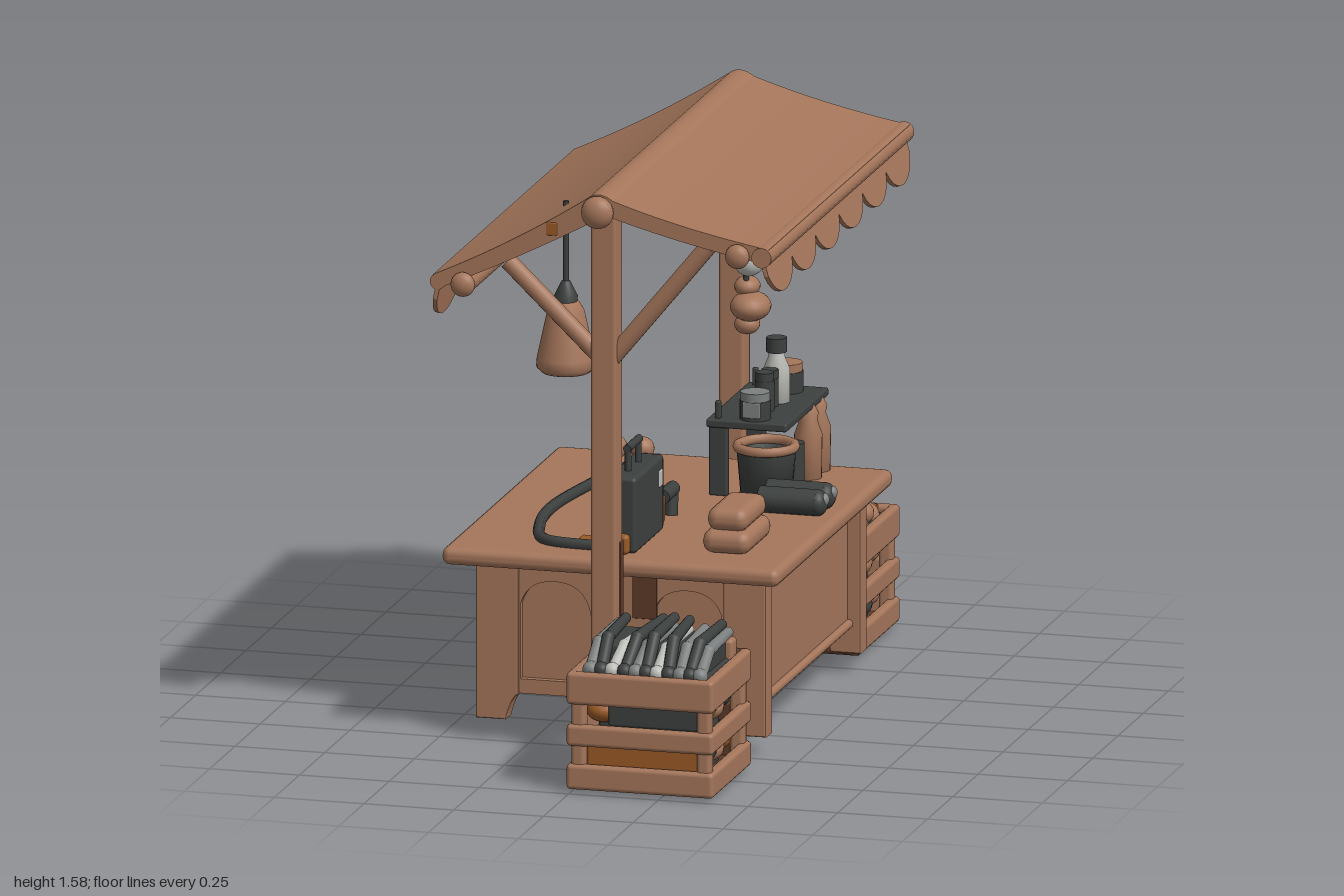
import * as THREE from 'three';
import { RoundedBoxGeometry } from 'three/addons/geometries/RoundedBoxGeometry.js';

const paint = (name, color) => {
  const m = new THREE.MeshStandardMaterial({ color });
  m.name = name;
  return m;
};
const wood = paint('brown wood', 0xa5765b);
const shade = paint('dark brown wood', 0x5c3a29);
const dark = paint('dark metal', 0x3c403e);
const rust = paint('rust orange', 0x9a5a26);
const pale = paint('pale grey', 0xbcbcb8);
const steel = paint('steel grey', 0x7d8080);

const V = (x, y, z) => new THREE.Vector3(x, y, z);

export function createModel() {
  const root = new THREE.Group();
  root.name = 'marketStall';

  const group = (name, parent = root) => {
    const g = new THREE.Group();
    g.name = name;
    parent.add(g);
    return g;
  };
  const add = (parent, name, geo, mat, x = 0, y = 0, z = 0) => {
    const m = new THREE.Mesh(geo, mat);
    m.name = name;
    m.position.set(x, y, z);
    parent.add(m);
    return m;
  };
  // Rounded box given by its extents on each axis
  const box = (p, name, mat, [x0, x1], [y0, y1], [z0, z1], r = 0.012) => {
    const w = x1 - x0, h = y1 - y0, d = z1 - z0;
    return add(p, name, new RoundedBoxGeometry(w, h, d, 2, Math.min(r, w / 2.1, h / 2.1, d / 2.1)), mat,
      (x0 + x1) / 2, (y0 + y1) / 2, (z0 + z1) / 2);
  };
  const rod = (p, name, mat, a, b, r0, r1 = r0) => {
    const m = add(p, name, new THREE.CylinderGeometry(r1, r0, a.distanceTo(b), 14), mat);
    m.position.copy(a).lerp(b, 0.5);
    m.quaternion.setFromUnitVectors(V(0, 1, 0), b.clone().sub(a).normalize());
    return m;
  };
  const ball = (p, name, mat, r, x, y, z, sx = 1, sy = 1, sz = 1) => {
    const m = add(p, name, new THREE.SphereGeometry(r, 18, 12), mat, x, y, z);
    m.scale.set(sx, sy, sz);
    return m;
  };
  const turned = (p, name, mat, pts, x, y, z) =>
    add(p, name, new THREE.LatheGeometry(pts.map(q => new THREE.Vector2(...q)), 24), mat, x, y, z);

  // Table
  const table = group('table');
  box(table, 'tableTop', wood, [-0.48, 0.46], [0.49, 0.54], [-0.59, 0.56], 0.022);
  for (const [z0, z1] of [[-0.52, -0.45], [0.42, 0.485]])
    for (const s of [-1, 1]) {
      const leg = new THREE.Shape();
      leg.moveTo(0.40, 0.5);
      leg.lineTo(0.40, 0.06);
      leg.lineTo(0.325, 0.06);
      leg.quadraticCurveTo(0.31, 0.12, 0.29, 0.13);
      leg.lineTo(0.29, 0.5);
      const geo = new THREE.ExtrudeGeometry(leg, { depth: z1 - z0 - 0.012, bevelSize: 0.005, bevelThickness: 0.006, bevelSegments: 2 });
      const m = add(table, 'tableLeg', geo, wood, 0, 0, z0 + 0.006);
      if (s < 0) { m.rotation.y = Math.PI; m.position.z = z1 - 0.006; }
    }
  // End boards: a frame with arched openings over a recessed panel
  for (const z of [-0.485, 0.453]) {
    const frame = new THREE.Shape();
    frame.moveTo(-0.31, 0.13); frame.lineTo(0.31, 0.13); frame.lineTo(0.31, 0.5); frame.lineTo(-0.31, 0.5);
    for (const s of [-1, 1]) {
      const hole = new THREE.Path();
      hole.moveTo(s * 0.28, 0.17); hole.lineTo(s * 0.075, 0.17); hole.lineTo(s * 0.085, 0.36);
      hole.quadraticCurveTo(s * 0.1, 0.445, s * 0.185, 0.445);
      hole.quadraticCurveTo(s * 0.26, 0.445, s * 0.28, 0.38);
      frame.holes.push(hole);
    }
    add(table, 'endFrame', new THREE.ExtrudeGeometry(frame, { depth: 0.05, bevelEnabled: false }), wood, 0, 0, z - 0.025);
    box(table, 'endPanel', wood, [-0.3, 0.3], [0.14, 0.49], [z - 0.005, z + 0.005], 0.003);
  }
  box(table, 'shadedPatch', shade, [0.03, 0.1], [0.36, 0.49], [0.472, 0.481], 0.002);
  box(table, 'rustPatch', rust, [0.32, 0.39], [0.43, 0.455], [-0.528, -0.519], 0.002);
  box(table, 'sidePanel', wood, [0.345, 0.37], [0.14, 0.5], [-0.46, 0.43], 0.005);
  box(table, 'bottomRail', wood, [0.34, 0.385], [0.125, 0.15], [-0.46, 0.43]);
  box(table, 'topRail', wood, [0.34, 0.385], [0.465, 0.5], [-0.46, 0.43]);

  // Posts and braces
  const frame = group('frame');
  for (const z of [0.605, -0.665]) {
    box(frame, 'post', wood, [-0.042, 0.03], [0, 1.52], [z - 0.035, z + 0.035], 0.01);
    rod(frame, 'leftBrace', wood, V(0.01, 1.11, z), V(0.28, 1.44, z), 0.024);
    rod(frame, 'rightBrace', wood, V(-0.02, 1.11, z), V(-0.28, 1.36, z), 0.024);
  }
  box(frame, 'postStain', shade, [0.026, 0.033], [0.01, 0.6], [0.57, 0.604], 0.002);
  box(frame, 'backPostStain', shade, [-0.048, 0.032], [0.005, 0.3], [-0.703, -0.627], 0.008);
  // Beams with knobbed ends
  for (const [x, y, r] of [[-0.01, 1.53, 0.04], [-0.385, 1.305, 0.03], [0.38, 1.435, 0.03]]) {
    rod(frame, 'roofBeam', wood, V(x, y, -0.72), V(x, y, 0.68), r);
    for (const z of [-0.72, 0.68]) ball(frame, 'beamKnob', wood, r * 1.12, x, y, z, 1, 1, 0.7);
  }

  // Roof sheet with a slight sag on both slopes
  const roof = group('roof');
  const sheet = new THREE.Shape();
  sheet.moveTo(-0.47, 1.325);
  sheet.quadraticCurveTo(-0.25, 1.425, -0.04, 1.565);
  sheet.quadraticCurveTo(-0.01, 1.59, 0.03, 1.562);
  sheet.quadraticCurveTo(0.22, 1.498, 0.465, 1.457);
  sheet.lineTo(0.46, 1.415);
  sheet.quadraticCurveTo(0.22, 1.455, 0.01, 1.52);
  sheet.quadraticCurveTo(-0.24, 1.38, -0.46, 1.285);
  add(roof, 'roofSheet', new THREE.ExtrudeGeometry(sheet, { depth: 1.4, bevelEnabled: false, curveSegments: 16 }), wood, 0, 0, -0.73);
  rod(roof, 'rightEave', wood, V(-0.458, 1.305, -0.73), V(-0.458, 1.305, 0.67), 0.022);
  rod(roof, 'leftEave', wood, V(0.447, 1.435, -0.74), V(0.447, 1.435, 0.68), 0.028);
  // Scalloped cloth along both eaves
  const cloth = new THREE.Shape();
  const n = 6, w = 1.4 / n;
  cloth.moveTo(-0.73, 0);
  cloth.lineTo(-0.73, -0.05);
  for (let i = 0; i < n; i++) {
    const a = -0.73 + i * w;
    cloth.bezierCurveTo(a + 0.04, -0.135, a + w - 0.04, -0.135, a + w, -0.05);
  }
  cloth.lineTo(0.67, 0);
  for (const [name, x, y, tilt] of [['leftValance', 0.445, 1.43, 0.27], ['rightValance', -0.455, 1.305, -0.2]]) {
    const g = group(name, roof);
    g.position.set(x, y, 0);
    g.rotation.z = tilt;
    add(g, 'scallops', new THREE.ExtrudeGeometry(cloth, { depth: 0.012, bevelEnabled: false, curveSegments: 10 }), wood, 0.006, 0, 0)
      .rotation.y = -Math.PI / 2;
  }

  // Crates with a dark inner wall towards the table (side = -1 or 1) and mixed goods behind the slats
  const crate = (name, x0, x1, z0, z1, side, lower, upper) => {
    const c = group(name);
    box(c, 'crateFloor', shade, [x0 + 0.01, x1 - 0.01], [0.008, 0.04], [z0 + 0.01, z1 - 0.01]);
    for (const [a, b] of [[0.01, 0.08], [0.13, 0.19], [0.245, 0.335]]) {
      for (const z of [z0, z1 - 0.03])
        box(c, 'endSlat', (z === z0) === (side < 0) ? shade : wood, [x0, x1], [a, b], [z, z + 0.03]);
      for (const x of [x0, x1 - 0.03]) box(c, 'sideSlat', wood, [x, x + 0.03], [a, b], [z0, z1]);
    }
    for (const x of [x0 + 0.01, x1 - 0.05])
      for (const z of [z0 + 0.01, z1 - 0.05]) box(c, 'cornerPost', wood, [x, x + 0.04], [0.02, 0.32], [z, z + 0.04]);
    box(c, 'innerGoods', dark, [x0 + 0.07, x1 - 0.07], [0.03, 0.29], [z0 + 0.07, z1 - 0.07]);
    const dx = (x1 - x0 - 0.17) / 3, dz = (z1 - z0 - 0.17) / 3;
    for (let i = 0; i < 4; i++)
      for (let j = 0; j < 4; j++) {
        const x = x0 + 0.085 + i * dx, z = z0 + 0.085 + j * dz, k = j * 3 + i;
        ball(c, 'lowerGoods', lower[k % lower.length], 0.05, x, 0.09 + 0.012 * (k % 2), z, 1, 0.7, 1.15);
        ball(c, 'upperGoods', upper[k % upper.length], 0.05, x, 0.205 + 0.015 * (k % 2), z, 1, 0.7, 1.15);
      }
    return c;
  };

  // Tool crate
  const tools = crate('toolCrate', -0.01, 0.40, 0.605, 0.995, -1, [rust, wood, dark, rust, dark], [dark, wood, dark, dark, rust]);
  box(tools, 'rustBoard', rust, [0.04, 0.36], [0.07, 0.135], [0.95, 0.968]);
  box(tools, 'darkBoard', dark, [0.1, 0.36], [0.185, 0.25], [0.95, 0.968]);
  box(tools, 'toolBed', dark, [0.03, 0.36], [0.27, 0.325], [0.64, 0.96]);
  // Each tool: crosswise position, lean, top height, colour
  for (const [x, lean, top, mat] of [[0.045, 0.0, 0.39, steel], [0.075, -0.01, 0.405, dark], [0.105, 0.03, 0.385, pale],
    [0.14, 0.03, 0.41, dark], [0.17, 0.03, 0.39, steel], [0.2, 0.0, 0.415, dark], [0.23, 0.01, 0.385, pale],
    [0.262, -0.02, 0.41, dark], [0.295, -0.01, 0.39, steel], [0.322, 0.01, 0.405, dark], [0.35, 0.0, 0.385, steel]]) {
    const mid = V(x + lean * 0.4, top, 0.86);
    rod(tools, 'toolTip', mat, V(x, 0.33, 0.945), mid, 0.017);
    ball(tools, 'toolBend', mat, 0.018, mid.x, mid.y, mid.z);
    rod(tools, 'toolHandle', mat, mid, V(x + lean, top + 0.004, 0.66), 0.017, 0.014);
    ball(tools, 'toolHead', mat, 0.022, x, 0.335, 0.942);
  }
  box(tools, 'toolFill', dark, [0.05, 0.35], [0.31, 0.385], [0.65, 0.85]);
  box(tools, 'woodBlock', wood, [0.335, 0.37], [0.3, 0.375], [0.64, 0.69]);
  box(tools, 'rustScrap', rust, [0.04, 0.09], [0.3, 0.36], [0.637, 0.66]);

  // Food crate
  const food = crate('foodCrate', -0.045, 0.365, -0.995, -0.59, 1, [rust, dark, dark, wood, rust], [rust, wood, dark, wood, dark]);
  box(food, 'foodBed', dark, [-0.01, 0.33], [0.25, 0.32], [-0.96, -0.62]);
  rod(food, 'rustRod', rust, V(0.02, 0.328, -0.955), V(0.31, 0.328, -0.955), 0.012);
  for (let i = 0; i < 5; i++)
    for (let j = 0; j < 3; j++)
      ball(food, 'loaf', wood, 0.055, 0.1 + j * 0.085, 0.325 + 0.02 * ((i + j) % 2), -0.89 + i * 0.056, 1.2, 0.75, 0.85);
  ball(food, 'gourdBase', wood, 0.035, 0.09, 0.39, -0.87);
  ball(food, 'gourdTop', wood, 0.05, 0.09, 0.428, -0.87, 1, 0.85, 1);

  // Hanging bell lamp
  const lamp = group('hangingLamp');
  rod(lamp, 'lampCord', dark, V(-0.155, 1.24, 0.475), V(-0.155, 1.502, 0.475), 0.008);
  turned(lamp, 'lampCap', dark, [[0.03, 0], [0.032, 0.03], [0.012, 0.07], [0, 0.075]], -0.155, 1.21, 0.475);
  turned(lamp, 'lampShade', wood, [[0, 0.005], [0.065, 0], [0.08, 0.015], [0.078, 0.04], [0.05, 0.17], [0.035, 0.195], [0, 0.2]], -0.155, 1.03, 0.475);
  box(lamp, 'lampTie', rust, [-0.155, -0.125], [1.455, 1.492], [0.664, 0.673], 0.004);

  // Hanging string of bulbs
  const bulbs = group('hangingBulbs');
  rod(bulbs, 'string', dark, V(0.065, 1, -0.54), V(0.05, 1.3, -0.54), 0.008);
  ball(bulbs, 'whiteBulb', pale, 0.042, 0.07, 1.1, -0.54);
  ball(bulbs, 'upperBulb', wood, 0.035, 0.06, 1.025, -0.56, 1, 0.8, 1.2);
  ball(bulbs, 'middleBulb', wood, 0.05, 0.075, 0.975, -0.54, 1.1, 0.8, 1.3);
  ball(bulbs, 'lowerBulb', wood, 0.035, 0.065, 0.925, -0.54, 1, 0.8, 1);

  // Small rack and the jars on it
  const rack = group('rack');
  box(rack, 'rackShelf', dark, [0.055, 0.28], [0.73, 0.753], [-0.585, -0.165], 0.006);
  for (const z of [-0.56, -0.19]) {
    box(rack, 'rackLeg', dark, [0.06, 0.11], [0.54, 0.735], [z - 0.015, z + 0.015], 0.005);
    box(rack, 'rackUpright', dark, [0.075, 0.09], [0.74, 0.8], [z - 0.008, z + 0.008], 0.004);
  }
  for (const [r, h, z, mat, lid] of [[0.042, 0.055, -0.21, dark, steel], [0.026, 0.085, -0.305, dark, dark],
    [0.024, 0.08, -0.355, dark, dark], [0.046, 0.06, -0.52, dark, wood]]) {
    rod(rack, 'jar', mat, V(0.18, 0.75, z), V(0.18, 0.75 + h, z), r);
    rod(rack, 'jarLid', lid, V(0.18, 0.75 + h, z), V(0.18, 0.773 + h, z), r * 0.95);
  }
  box(rack, 'jarLabel', steel, [0.155, 0.205], [0.762, 0.805], [-0.176, -0.167], 0.003);
  turned(rack, 'whiteBottle', pale, [[0, 0], [0.036, 0], [0.036, 0.09], [0.022, 0.125], [0.022, 0.15]], 0.185, 0.753, -0.405);
  rod(rack, 'bottleCap', dark, V(0.185, 0.89, -0.405), V(0.185, 0.93, -0.405), 0.028);

  // Goods on the table
  const goods = group('tableGoods');
  turned(goods, 'bucket', dark, [[0, 0], [0.07, 0], [0.08, 0.12], [0.07, 0.12], [0.06, 0.1], [0, 0.1]], 0.2, 0.54, -0.25);
  add(goods, 'bucketRim', new THREE.TorusGeometry(0.077, 0.014, 8, 28), wood, 0.2, 0.668, -0.25).rotation.x = Math.PI / 2;
  for (const z of [-0.435, -0.52])
    turned(goods, 'clayBottle', wood, [[0, 0], [0.036, 0], [0.038, 0.12], [0.024, 0.16], [0.028, 0.18], [0.014, 0.205], [0, 0.207]], 0.265, 0.54, z);
  rod(goods, 'tin', dark, V(0.24, 0.54, -0.375), V(0.24, 0.65, -0.375), 0.03);
  for (const z of [-0.045, -0.125]) {
    rod(goods, 'roll', dark, V(0.24, 0.575, z), V(0.4, 0.575, z), 0.036);
    ball(goods, 'rollEnd', dark, 0.036, 0.4, 0.575, z, 0.8);
    ball(goods, 'rollPlug', steel, 0.018, 0.42, 0.585, z, 0.7);
  }
  box(goods, 'toolbox', dark, [-0.04, 0.045], [0.54, 0.75], [0.21, 0.49]);
  box(goods, 'toolboxLatch', pale, [0.041, 0.049], [0.67, 0.715], [0.235, 0.27], 0.003);
  for (const z of [0.31, 0.41]) rod(goods, 'handlePost', dark, V(0, 0.74, z), V(0, 0.815, z), 0.009);
  rod(goods, 'handleGrip', dark, V(0, 0.812, 0.3), V(0, 0.812, 0.42), 0.011);
  box(goods, 'rustBlock', rust, [-0.04, 0.028], [0.54, 0.595], [0.43, 0.51]);
  box(goods, 'rustStrip', rust, [-0.13, -0.04], [0.535, 0.562], [0.40, 0.45], 0.006);
  box(goods, 'rustWedge', rust, [-0.03, 0.028], [0.54, 0.62], [0.13, 0.205]);
  rod(goods, 'pistolGrip', dark, V(0.02, 0.54, 0.055), V(0.02, 0.61, 0.045), 0.018);
  rod(goods, 'barrel', dark, V(0.02, 0.61, 0.035), V(0.02, 0.61, 0.14), 0.02);
  for (let i = 0; i < 2; i++)
    box(goods, 'foldedCloth', wood, [0.21 + i * 0.01, 0.345 - i * 0.01], [0.54 + i * 0.06, 0.605 + i * 0.06],
      [0.2 + i * 0.01, 0.44 - i * 0.012], 0.03);

  // Cord laid along the table, with two balls at its end
  const path = new THREE.CatmullRomCurve3([V(-0.2, 0.55, -0.48), V(-0.27, 0.55, -0.15), V(-0.3, 0.55, 0.1),
    V(-0.28, 0.55, 0.29), V(-0.22, 0.55, 0.44), V(-0.04, 0.55, 0.47)]);
  add(goods, 'cord', new THREE.TubeGeometry(path, 40, 0.016, 8), dark);
  ball(goods, 'cordBall', wood, 0.034, -0.29, 0.572, -0.49);
  ball(goods, 'cordBall', wood, 0.032, -0.215, 0.57, -0.5);

  return root;
}
